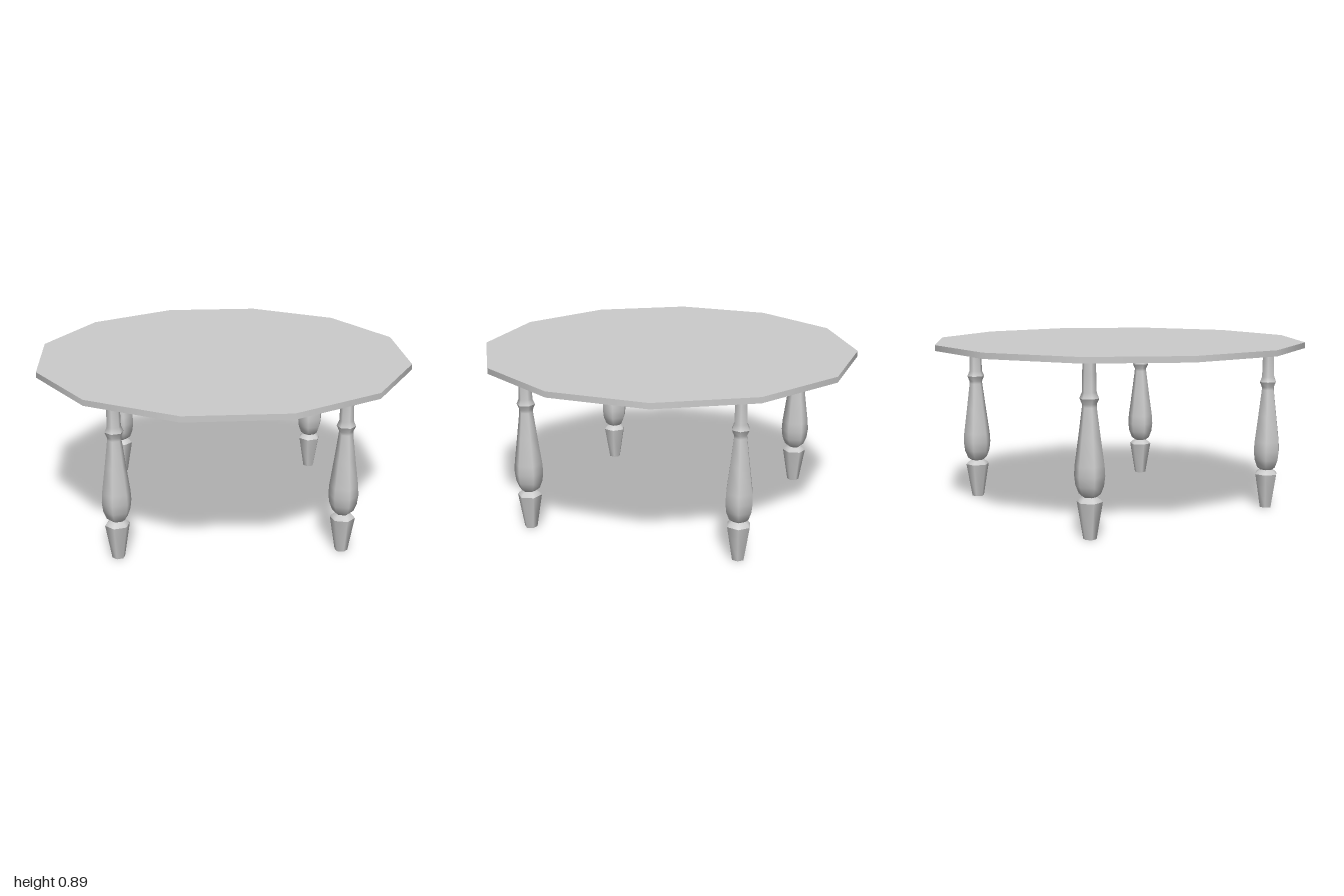
import * as THREE from 'three';

const TOP_Y = 0.895, TOP_THICKNESS = 0.03;
const LEG_RADIUS = 0.81, LEG_SIDES = 6;

// Turned leg profile [radius, height], bottom to top; a repeated point makes a sharp edge
const LEG_PROFILE = [
  [0, 0], [0.033, 0], [0.033, 0],
  [0.064, 0.183], [0.064, 0.183],
  [0.054, 0.195], [0.035, 0.207], [0.035, 0.207],
  [0.054, 0.222], [0.07, 0.262], [0.076, 0.31], [0.073, 0.36],
  [0.054, 0.5], [0.036, 0.64],
  [0.036, 0.655], [0.048, 0.682], [0.048, 0.682],
  [0.036, 0.71], [0.034, 0.8], [0.031, TOP_Y - TOP_THICKNESS],
];

export function createModel() {
  const table = new THREE.Group();
  table.name = 'table';
  const material = new THREE.MeshStandardMaterial({ color: 0xcccccc });

  // Twelve-sided top
  const top = new THREE.Mesh(new THREE.CylinderGeometry(1, 1, TOP_THICKNESS, 12), material);
  top.name = 'tableTop';
  top.position.y = TOP_Y - TOP_THICKNESS / 2;
  table.add(top);

  // Four legs, each turned to face outwards
  const legGeometry = new THREE.LatheGeometry(
    LEG_PROFILE.map(([r, y]) => new THREE.Vector2(r, y)), LEG_SIDES);
  ['leftLeg', 'backLeg', 'rightLeg', 'frontLeg'].forEach((name, i) => {
    const angle = i * Math.PI / 2;
    const leg = new THREE.Mesh(legGeometry, material);
    leg.name = name;
    leg.position.set(LEG_RADIUS * Math.cos(angle), 0, -LEG_RADIUS * Math.sin(angle));
    leg.rotation.y = angle;
    table.add(leg);
  });

  return table;
}
